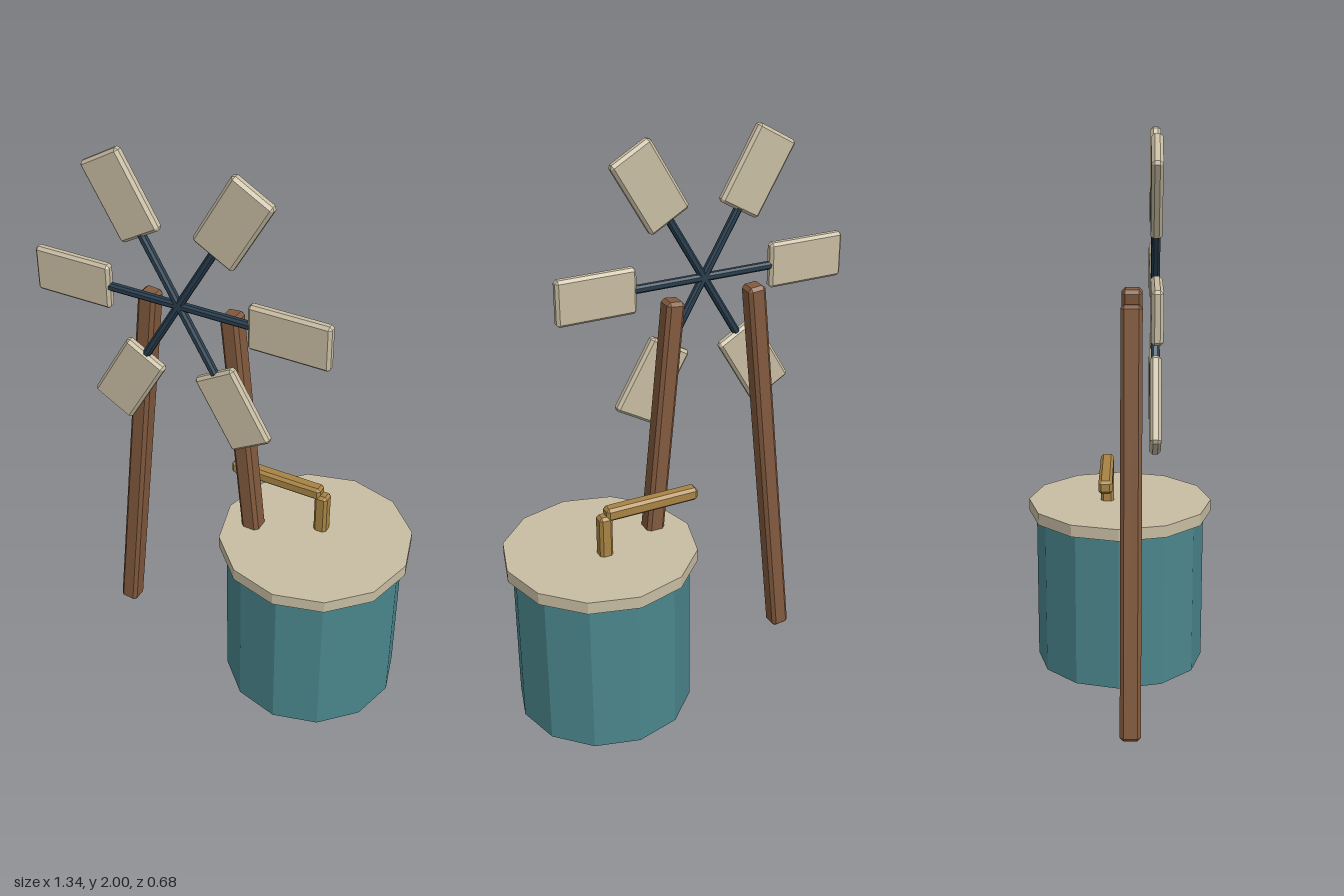
import * as THREE from 'three';
import { ConvexGeometry } from 'three/addons/geometries/ConvexGeometry.js';

const material = (name, color) => {
  const m = new THREE.MeshStandardMaterial({ color, flatShading: true });
  m.name = name;
  return m;
};

// Box with chamfered edges: each corner becomes three points
function chamferBox(w, h, d, c) {
  const points = [];
  for (const x of [-1, 1]) for (const y of [-1, 1]) for (const z of [-1, 1]) {
    for (let axis = 0; axis < 3; axis++) {
      const [a, b, e] = [w, h, d].map((s, i) => s / 2 - (i === axis ? 0 : c));
      points.push(new THREE.Vector3(x * a, y * b, z * e));
    }
  }
  return new ConvexGeometry(points);
}

export function createModel() {
  const model = new THREE.Group();
  model.name = 'windPump';

  const cream = material('cream', 0xc8bda3);
  const teal = material('teal', 0x4a868c);
  const wood = material('wood', 0x825a3e);
  const brass = material('brass', 0xa88444);
  const navy = material('navy', 0x283e4f);

  function add(parent, name, geometry, mat, x, y, z, tilt = 0) {
    const mesh = new THREE.Mesh(geometry, mat);
    mesh.name = name;
    mesh.position.set(x, y, z);
    mesh.rotation.z = tilt;
    parent.add(mesh);
    return mesh;
  }

  // Twelve-sided water tank and its overhanging lid
  const tankX = 0.33;
  add(model, 'tank', new THREE.CylinderGeometry(0.312, 0.312, 0.6, 12), teal, tankX, 0.3, 0);
  add(model, 'lid', new THREE.CylinderGeometry(0.34, 0.34, 0.044, 12), cream, tankX, 0.602, 0);

  // Pump post and handle on the lid
  add(model, 'pumpPost', chamferBox(0.048, 0.19, 0.048, 0.01), brass, 0.33, 0.68, -0.046);
  add(model, 'pumpHandle', chamferBox(0.345, 0.048, 0.048, 0.01), brass, 0.154, 0.779, -0.046);

  // Two mirrored legs leaning towards the wheel
  const hubX = -0.13;
  const legGeometry = chamferBox(0.066, 1.44, 0.07, 0.012);
  for (const side of [-1, 1]) {
    const name = side < 0 ? 'rightLeg' : 'leftLeg';
    add(model, name, legGeometry, wood, hubX + side * 0.223, 0.755, 0.045, side * 0.1);
  }

  // Wheel: six arms, each a spoke with a flat blade at its end
  const wheel = new THREE.Group();
  wheel.name = 'wheel';
  wheel.position.set(hubX, 1.498, 0.121);
  model.add(wheel);
  const bladeGeometry = chamferBox(0.286, 0.162, 0.036, 0.01);
  const spokeGeometry = chamferBox(0.62, 0.027, 0.027, 0.007);
  for (let i = 0; i < 6; i++) {
    const arm = new THREE.Group();
    arm.name = 'arm';
    arm.rotation.z = i * Math.PI / 3;
    wheel.add(arm);
    add(arm, 'blade', bladeGeometry, cream, 0.395, 0, 0);
    // Each spoke spans two opposite arms
    if (i < 3) add(arm, 'spoke', spokeGeometry, navy, 0, 0, 0);
  }

  return model;
}
